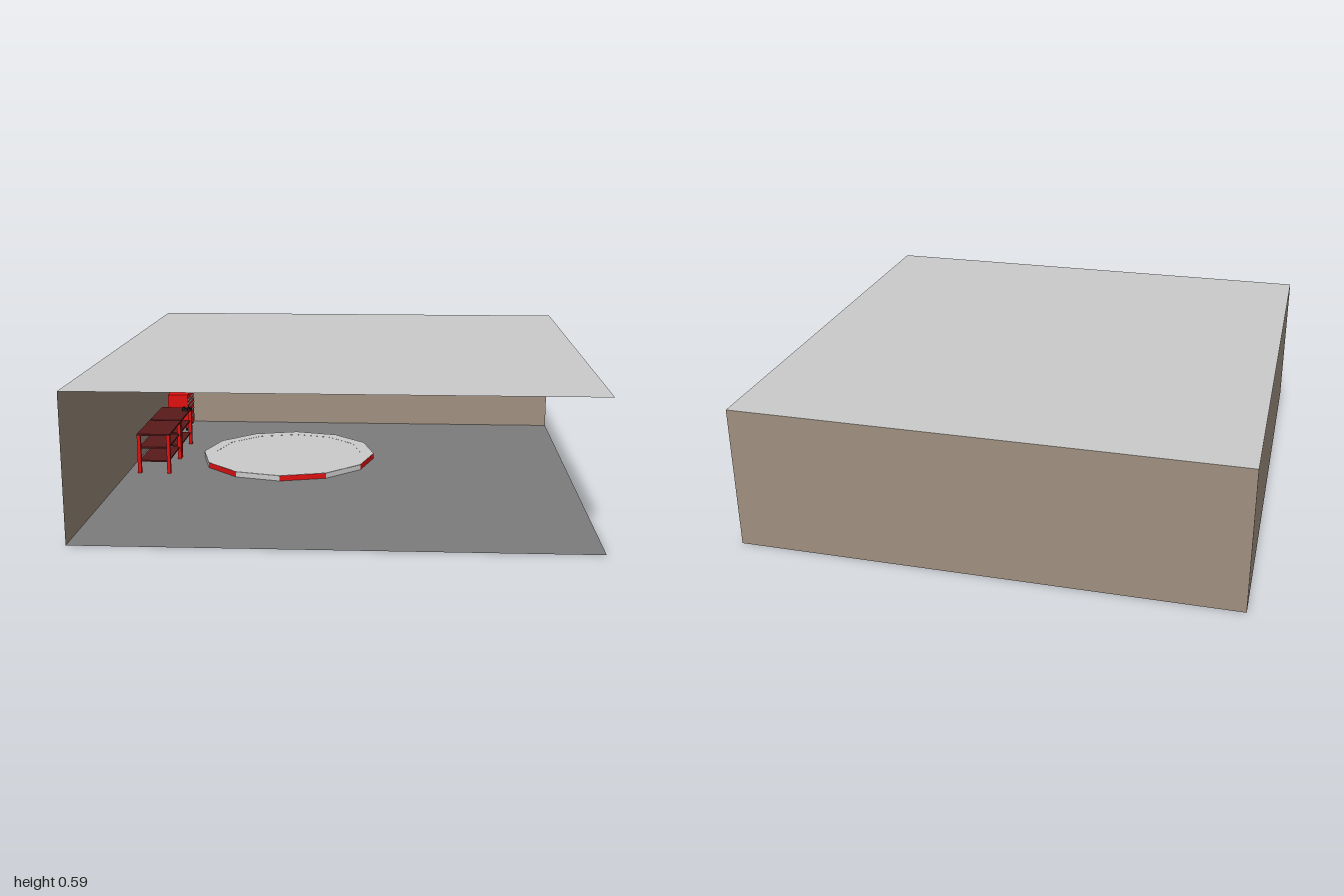
import * as THREE from 'three';

const material = (color, extra = {}) => new THREE.MeshStandardMaterial({ color, ...extra });

export function createModel() {
  const model = new THREE.Group();
  model.name = 'garage';
  const grey = material(0xcccccc, { flatShading: true });
  const red = material(0xe01010, { flatShading: true });
  const shelfColor = material(0x5a1a1a);
  const black = material(0x1c1c1c);
  const wall = material(0xa09080, { side: THREE.DoubleSide });

  const add = (parent, name, geometry, mat, x = 0, y = 0, z = 0) => {
    const mesh = new THREE.Mesh(geometry, mat);
    mesh.name = name;
    mesh.position.set(x, y, z);
    parent.add(mesh);
    return mesh;
  };
  const box = (parent, name, mat, w, h, d, x, y, z) =>
    add(parent, name, new THREE.BoxGeometry(w, h, d), mat, x, y, z);
  const group = (name, x, y, z) => {
    const g = new THREE.Group();
    g.name = name;
    g.position.set(x, y, z);
    model.add(g);
    return g;
  };

  // Room shell: two walls, the other two sides stay open
  const H = 0.588;
  const floor = material(0x7c7c7c, { side: THREE.DoubleSide });
  const ceiling = material(0xcccccc, { side: THREE.DoubleSide });
  const slab = new THREE.PlaneGeometry(2, 2).rotateX(-Math.PI / 2);
  const side = new THREE.PlaneGeometry(2, H);
  add(model, 'floor', slab, floor);
  add(model, 'ceiling', slab, ceiling, 0, H, 0);
  add(model, 'backWall', side, wall, 0, H / 2, -1);
  add(model, 'sideWall', side, wall, -1, H / 2, 0).rotation.y = Math.PI / 2;

  // Twelve-sided platform with alternating rim panels
  const platform = group('platform', -0.295, 0, -0.29);
  const R = 0.405, inner = 0.345, top = 0.025;
  const step = Math.PI / 6;
  for (let i = 0; i < 12; i++) {
    add(platform, 'rimPanel',
      new THREE.CylinderGeometry(R, R, top - 0.001, 1, 1, true, i * step, step),
      i % 2 ? grey : red, 0, top / 2, 0);
  }
  add(platform, 'rimTop', new THREE.RingGeometry(inner, R, 12).rotateX(-Math.PI / 2), grey, 0, top, 0);
  add(platform, 'platformDisc', new THREE.CylinderGeometry(inner, inner, 0.022, 12), grey, 0, 0.0135, 0);

  // Two workbenches along the side wall
  for (const z of [-0.115, -0.395]) {
    const bench = group('workbench', -0.877, 0, z);
    for (const sx of [-1, 1]) {
      for (const sz of [-1, 1]) {
        box(bench, 'benchLeg', red, 0.016, 0.176, 0.016, sx * 0.067, 0.088, sz * 0.126);
      }
    }
    for (const y of [0.055, 0.117]) {
      box(bench, 'benchShelf', shelfColor, 0.134, 0.007, 0.25, 0, y, 0);
    }
    box(bench, 'benchTop', shelfColor, 0.15, 0.008, 0.27, 0, 0.179, 0);
  }

  // Bench vise
  const vise = group('vise', -0.818, 0.183, -0.46);
  box(vise, 'viseBase', black, 0.026, 0.007, 0.022, -0.004, 0.0035, 0);
  box(vise, 'viseRail', black, 0.04, 0.006, 0.01, 0.002, 0.009, 0);
  for (const x of [-0.01, 0.014]) {
    box(vise, 'viseJaw', black, 0.009, 0.01, 0.022, x, 0.014, 0);
  }
  add(vise, 'viseScrew', new THREE.CylinderGeometry(0.002, 0.002, 0.018, 8).rotateZ(Math.PI / 2),
    black, 0.02, 0.011, 0);
  add(vise, 'viseHandle', new THREE.CylinderGeometry(0.0015, 0.0015, 0.03, 8).rotateX(0.8),
    black, 0.028, 0.011, 0);

  // Rolling tool cabinet with drawers facing into the room
  const cabinet = group('toolCabinet', -0.92, 0, -0.867);
  box(cabinet, 'cabinetBody', red, 0.104, 0.175, 0.166, -0.002, 0.1035, 0);
  for (const y of [0.056, 0.09, 0.122, 0.146, 0.163]) {
    box(cabinet, 'drawerHandle', grey, 0.006, 0.006, 0.154, 0.051, y, 0);
  }
  const wheel = new THREE.CylinderGeometry(0.008, 0.008, 0.008, 12).rotateZ(Math.PI / 2);
  for (const x of [-0.042, 0.04]) {
    for (const z of [-0.074, 0.074]) {
      add(cabinet, 'caster', wheel, black, x, 0.008, z);
    }
  }
  return model;
}
